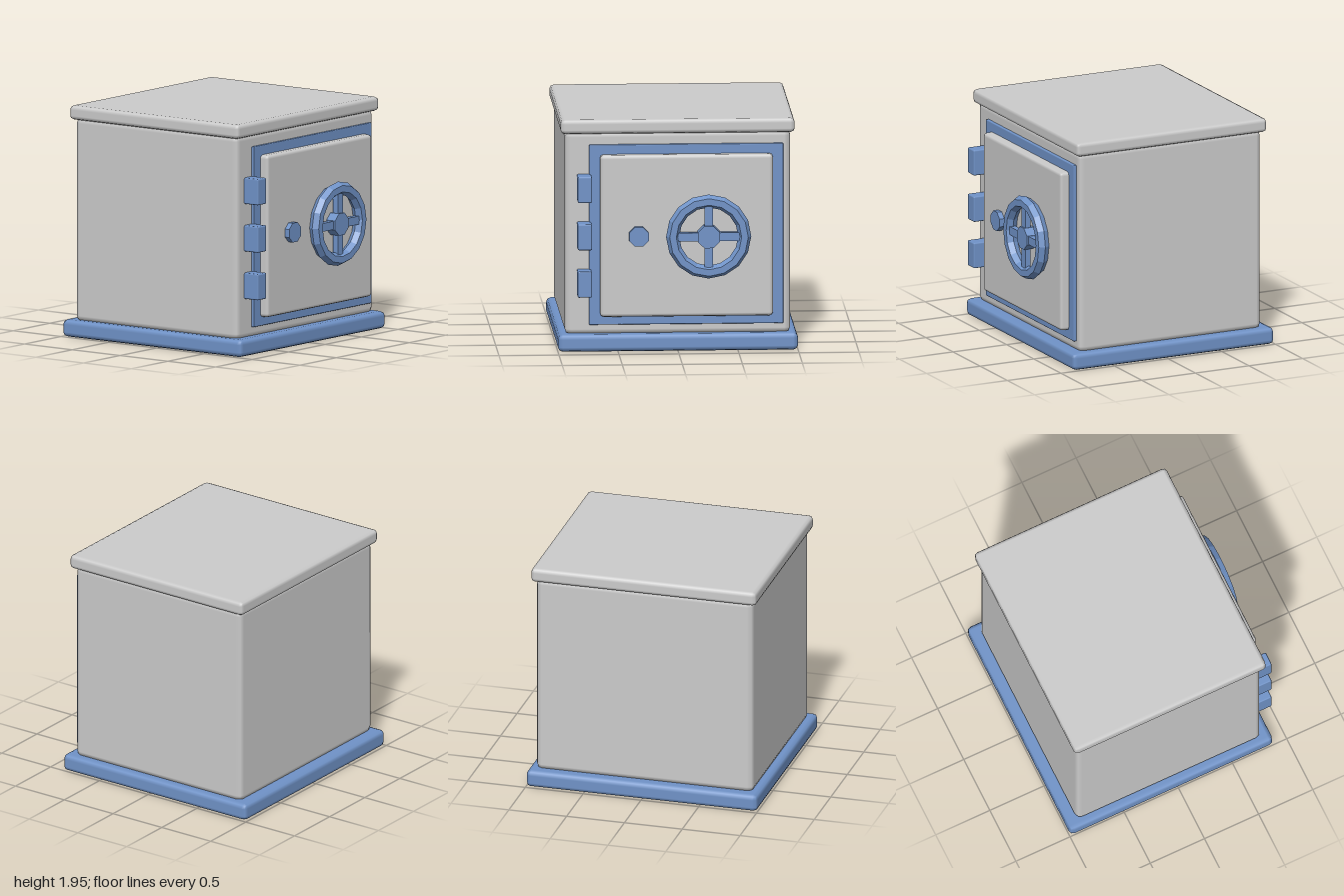
import * as THREE from 'three';
import { RoundedBoxGeometry } from 'three/addons/geometries/RoundedBoxGeometry.js';

const grey = new THREE.MeshStandardMaterial({ color: 0xcccccc });
const blue = new THREE.MeshStandardMaterial({ color: 0x7093c8 });
const blueFlat = new THREE.MeshStandardMaterial({ color: 0x7093c8, flatShading: true });

// Box with bevelled edges, given by its min and max corners
function bevelBox(name, min, max, bevel, material) {
  const [w, h, d] = max.map((v, i) => v - min[i]);
  const mesh = new THREE.Mesh(new RoundedBoxGeometry(w, h, d, 1, bevel), material);
  mesh.name = name;
  mesh.position.set(...max.map((v, i) => (v + min[i]) / 2));
  return mesh;
}

// Octagonal cylinder lying along z, with a flat side on top
function octagon(name, radius, x, y, z0, z1) {
  const geometry = new THREE.CylinderGeometry(radius, radius, z1 - z0, 8);
  geometry.rotateY(Math.PI / 8).rotateX(Math.PI / 2);
  const mesh = new THREE.Mesh(geometry, blueFlat);
  mesh.name = name;
  mesh.position.set(x, y, (z0 + z1) / 2);
  return mesh;
}

export function createModel() {
  const safe = new THREE.Group();
  safe.name = 'safe';

  // Cabinet
  safe.add(
    bevelBox('base', [-1, 0, -0.995], [1, 0.145, 0.88], 0.04, blue),
    bevelBox('body', [-0.94, 0.13, -0.905], [0.94, 1.85, 0.795], 0.05, grey),
    bevelBox('lid', [-0.975, 1.83, -0.94], [0.975, 1.95, 0.83], 0.035, grey),
  );

  // Door and its surround
  safe.add(
    bevelBox('doorFrame', [-0.74, 0.22, 0.75], [0.88, 1.74, 0.82], 0.008, blue),
    bevelBox('door', [-0.65, 0.295, 0.78], [0.79, 1.66, 0.895], 0.03, grey),
  );

  // Hinges
  for (const y of [0.58, 0.98, 1.38]) {
    safe.add(bevelBox('hinge', [-0.84, y - 0.11, 0.78], [-0.72, y + 0.11, 0.94], 0.012, blue));
  }

  // Lock knob
  safe.add(octagon('lockKnob', 0.088, -0.33, 0.98, 0.87, 0.94));

  // Handwheel: faceted rim, four spokes and a hub
  const wheel = new THREE.Group();
  wheel.name = 'handwheel';
  wheel.position.set(0.25, 0.98, 0.945);
  const rim = new THREE.Mesh(new THREE.TorusGeometry(0.3, 0.055, 6, 16), blueFlat);
  rim.name = 'rim';
  wheel.add(rim);
  for (let i = 0; i < 2; i++) {
    const spoke = new THREE.Mesh(new THREE.BoxGeometry(0.56, 0.07, 0.05), blueFlat);
    spoke.name = 'spokePair';
    spoke.rotation.z = i * Math.PI / 2;
    wheel.add(spoke);
  }
  wheel.add(octagon('hub', 0.1, 0, 0, -0.065, 0.04));
  safe.add(wheel);

  return safe;
}
